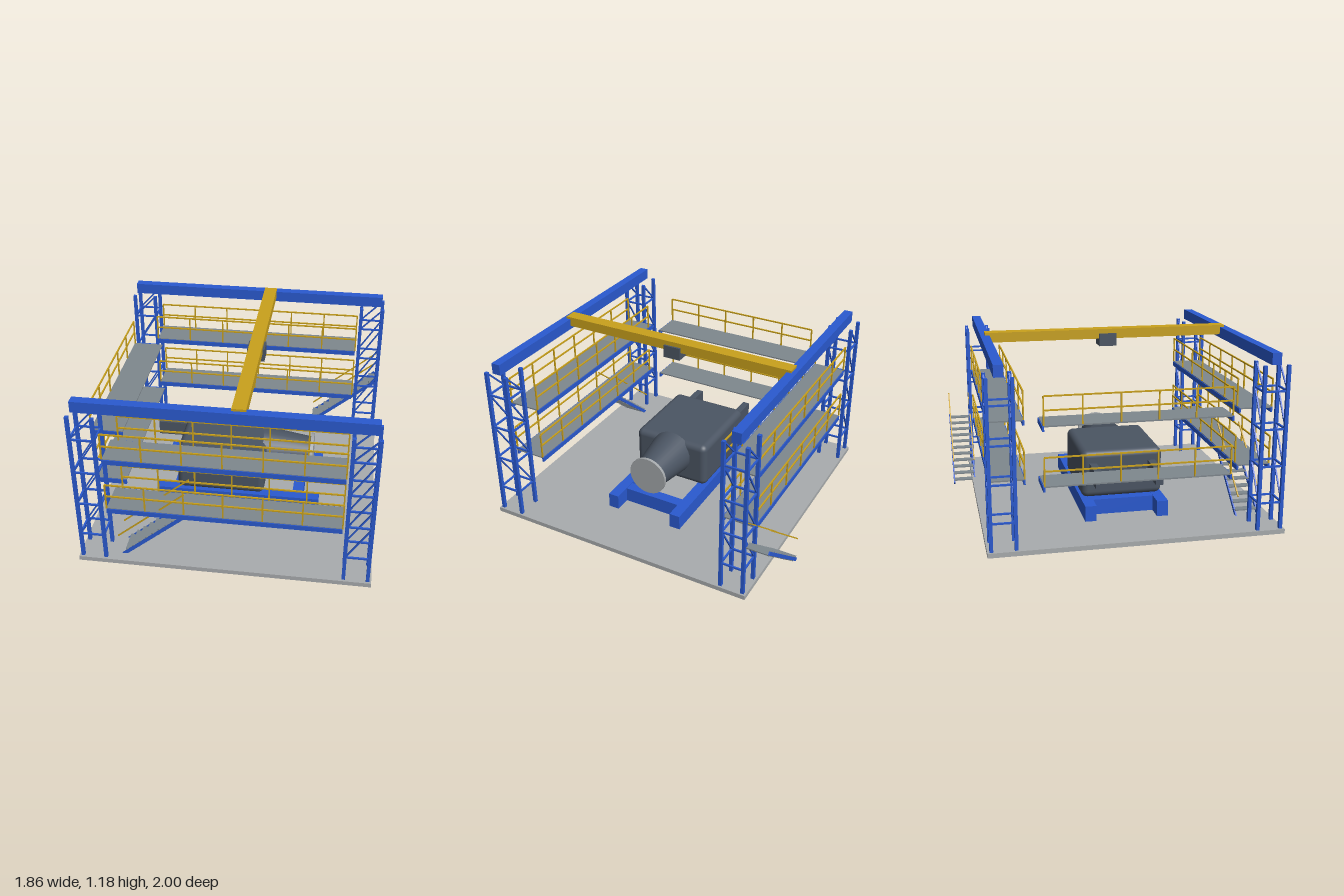
import * as THREE from 'three';
import { RoundedBoxGeometry } from 'three/addons/geometries/RoundedBoxGeometry.js';

const mat = (name, color) => {
  const m = new THREE.MeshStandardMaterial({ color });
  m.name = name;
  return m;
};

export function createModel() {
  const blue = mat('frame blue', 0x2a5ad0);
  const yellow = mat('safety yellow', 0xc9a11c);
  const concrete = mat('concrete grey', 0xa9acae);
  const grating = mat('grating grey', 0x7f888e);
  const dark = mat('machine grey', 0x4b5563);
  const metal = mat('bright metal', 0xa4a8ab);

  const group = (name, parent) => {
    const g = new THREE.Group();
    g.name = name;
    parent.add(g);
    return g;
  };
  const add = (parent, name, geo, m, x = 0, y = 0, z = 0) => {
    const mesh = new THREE.Mesh(geo, m);
    mesh.name = name;
    mesh.position.set(x, y, z);
    parent.add(mesh);
    return mesh;
  };
  // Box given by its extents on each axis
  const box = (parent, name, m, x0, x1, y0, y1, z0, z1) =>
    add(parent, name, new THREE.BoxGeometry(x1 - x0, y1 - y0, z1 - z0), m,
      (x0 + x1) / 2, (y0 + y1) / 2, (z0 + z1) / 2);
  // Square bar between two points
  const bar = (parent, name, m, a, b, w, h = w) => {
    const p = new THREE.Vector3(...a), q = new THREE.Vector3(...b);
    const mid = p.clone().add(q).multiplyScalar(0.5);
    const mesh = add(parent, name, new THREE.BoxGeometry(w, h, p.distanceTo(q)), m, mid.x, mid.y, mid.z);
    mesh.lookAt(q);
    return mesh;
  };

  const root = new THREE.Group();
  root.name = 'testStand';
  const FRONT = 0.9, BACK = -0.765;

  box(root, 'floorSlab', concrete, -0.93, 0.93, 0.01, 0.04, -0.865, 1);

  // Lattice towers
  const levels = [0.215, 0.453, 0.691, 0.93, 1.09];
  const tower = (cx, cz) => {
    const g = group('tower', root);
    const r = 0.075;
    for (const sx of [-1, 1]) for (const sz of [-1, 1]) {
      const x = cx + sx * r, z = cz + sz * r;
      box(g, 'leg', blue, x - 0.011, x + 0.011, 0.04, 1.092, z - 0.011, z + 0.011);
    }
    for (let i = 0; i < 4; i++) {
      const y = levels[i];
      for (const s of [-r, r]) {
        bar(g, 'crossBar', blue, [cx - r, y, cz + s], [cx + r, y, cz + s], 0.011);
        bar(g, 'crossBar', blue, [cx + s, y, cz - r], [cx + s, y, cz + r], 0.011);
        bar(g, 'diagonal', blue, [cx - r, y, cz + s], [cx + r, levels[i + 1], cz + s], 0.009);
      }
    }
  };

  // Railing with evenly spaced posts
  const railing = (parent, a, b, y, n) => {
    const g = group('railing', parent);
    for (const h of [0.092, 0.177])
      bar(g, 'rail', yellow, [a[0], y + h, a[1]], [b[0], y + h, b[1]], 0.009);
    for (let i = 0; i <= n; i++) {
      const x = a[0] + (b[0] - a[0]) * i / n, z = a[1] + (b[1] - a[1]) * i / n;
      bar(g, 'railPost', yellow, [x, y, z], [x, y + 0.177, z], 0.009);
    }
  };
  const platform = (name, x0, x1, z0, z1, y) => {
    const g = group(name, root);
    box(g, 'deck', grating, x0, x1, y - 0.009, y, z0, z1);
    for (const z of [z0, z1])
      box(g, 'edgeBeam', blue, x0, x1, y - 0.036, y - 0.004, z - 0.006, z + 0.006);
    return g;
  };

  for (const z of [FRONT, BACK]) {
    for (const x of [-0.832, 0.832]) tower(x, z);
    box(root, 'runwayBeam', blue, -0.9, 0.9, 1.092, 1.165, z - 0.03, z + 0.03);
  }
  for (const y of [0.418, 0.79]) {
    const front = platform('frontWalkway', -0.73, 0.73, 0.743, 0.952, y);
    railing(front, [-0.73, 0.952], [0.73, 0.952], y, 6);
    railing(front, [-0.68, 0.743], [0.73, 0.743], y, 6);
    const back = platform('backWalkway', -0.73, 0.73, -0.822, -0.612, y);
    railing(back, [-0.73, -0.822], [0.73, -0.822], y, 6);
    railing(back, [-0.73, -0.612], [0.73, -0.612], y, 6);
    const side = platform('sideWalkway', -0.885, -0.68, -0.515, 0.645, y);
    railing(side, [-0.883, -0.512], [-0.883, 0.642], y, 5);
  }

  // Stairs rising towards +x
  const stairs = (x0, x1, y1, z0, z1, n) => {
    const g = group('stairs', root);
    const y0 = 0.01;
    for (const z of [z0, z1]) {
      bar(g, 'stringer', blue, [x0, y0, z], [x1, y1, z], 0.009, 0.022);
      bar(g, 'handrail', yellow, [x0, y0 + 0.17, z], [x1, y1 + 0.17, z], 0.008);
    }
    for (let i = 0; i < n; i++) {
      const t = (i + 0.5) / n;
      const x = x0 + (x1 - x0) * t, y = y0 + (y1 - y0) * t;
      box(g, 'tread', grating, x - 0.026, x + 0.026, y, y + 0.008, z0, z1);
    }
  };
  stairs(-0.68, -0.24, 0.385, 0.777, 0.927, 10);
  stairs(0.435, 0.9, 0.405, -0.995, -0.847, 11);

  // Overhead crane
  const crane = group('crane', root);
  box(crane, 'bridgeBeam', yellow, 0.05, 0.136, 1.115, 1.18, BACK, FRONT);
  box(crane, 'hoist', dark, 0.036, 0.15, 1.065, 1.15, 0.007, 0.127);

  // Machine on its skid
  const machine = group('machine', root);
  const CZ = 0.067;
  for (const s of [-1, 1]) {
    const z = CZ + s * 0.238, x = s * 0.41, p = CZ + s * 0.195;
    box(machine, 'skidRail', blue, -0.56, 0.556, 0.04, 0.143, z - 0.037, z + 0.037);
    box(machine, 'skidCross', blue, x - 0.036, x + 0.036, 0.04, 0.142, CZ - 0.21, CZ + 0.21);
    box(machine, 'rearArm', dark, -0.632, -0.39, 0.282, 0.382, p - 0.024, p + 0.024);
  }
  add(machine, 'body', new RoundedBoxGeometry(0.597, 0.316, 0.54, 4, 0.042), dark, -0.118, 0.303, CZ);
  const nozzle = add(machine, 'nozzle', new THREE.CylinderGeometry(0.107, 0.155, 0.325, 32), dark, 0.317, 0.342, CZ);
  nozzle.rotation.z = -Math.PI / 2;
  const flange = add(machine, 'flange', new THREE.CylinderGeometry(0.133, 0.133, 0.02, 32), metal, 0.485, 0.342, CZ);
  flange.rotation.z = -Math.PI / 2;

  return root;
}
